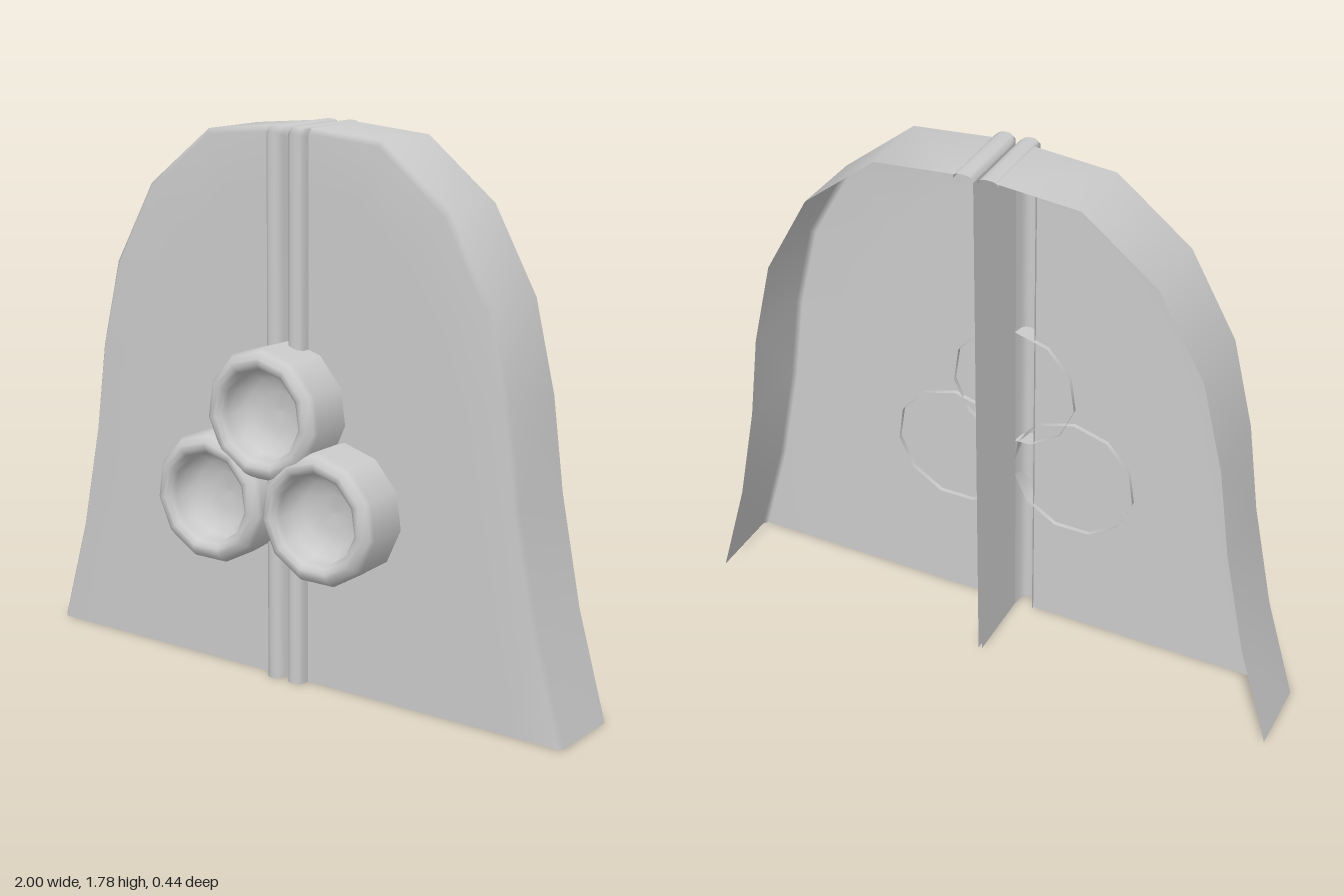
import * as THREE from 'three';

const BACK = -0.22, FRONT = 0.045;
const material = new THREE.MeshStandardMaterial({ color: 0xcccccc, side: THREE.DoubleSide });

// Skins a row of equal-length cross-sections with smooth normals.
function loft(sections) {
  const n = sections[0].length, index = [];
  for (let i = 0; i < sections.length - 1; i++) {
    for (let j = 0; j < n - 1; j++) {
      const a = i * n + j, b = a + n;
      index.push(a, b, a + 1, b, b + 1, a + 1);
    }
  }
  const geometry = new THREE.BufferGeometry();
  geometry.setAttribute('position', new THREE.Float32BufferAttribute(sections.flat(2), 3));
  geometry.setIndex(index);
  geometry.computeVertexNormals();
  return geometry;
}

// Curved side wall turning into the flat front panel.
function shellGeometry() {
  const outline = [[1, 0], [0.9, 0.35], [0.83, 0.7], [0.79, 1], [0.72, 1.29], [0.57, 1.56], [0.33, 1.75], [0.065, 1.773]];
  const inner = [[0.82, 0], [0.73, 0.35], [0.66, 0.7], [0.6, 1], [0.53, 1.2], [0.4, 1.4], [0.25, 1.55], [0.065, 1.57]];
  return loft(outline.map(([x, y], i) => {
    const [ix, iy] = inner[i];
    const ex = x + (ix - x) * 0.08, ey = y + (iy - y) * 0.08;
    return [[x, y, BACK], [x, y, 0.03], [ex, ey, FRONT], [ix, iy, FRONT], [0.065, iy, FRONT]];
  }));
}

// Rounded bead running up the front edge and back over the top.
function beadGeometry() {
  const profile = [[0.07, -0.01], [0.07, 0.022], [0.062, 0.037], [0.05, 0.043], [0.032, 0.043], [0.02, 0.037], [0.011, 0.022], [0.006, -0.01]];
  const top = (d) => 1.763 + d * 0.35;
  return loft([
    profile.map(([x, d]) => [x, 0, FRONT + d]),
    profile.map(([x, d]) => [x, top(d) - 0.02, FRONT + d]),
    profile.map(([x, d]) => [x, top(d), FRONT + d - 0.02]),
    profile.map(([x, d]) => [x, top(d), BACK]),
  ]);
}

// Flat wall closing each half along the centre split.
function centreWallGeometry() {
  return loft([0, 1.759].map((y) => [[0.006, y, FRONT], [0.006, y, BACK]]));
}

// Eleven-sided cup with a bevelled rim and a shallow bowl.
function cupGeometry() {
  const profile = [
    [0.213, 0.03], [0.213, 0.185], [0.205, 0.2], [0.185, 0.216], [0.167, 0.216],
    [0.152, 0.205], [0.146, 0.185], [0.14, 0.14], [0.11, 0.11], [0.06, 0.096], [0, 0.092],
  ].map(([r, z]) => new THREE.Vector2(r, z));
  return new THREE.LatheGeometry(profile, 11, Math.PI).rotateX(Math.PI / 2);
}

export function createModel() {
  const model = new THREE.Group();
  const add = (name, geometry) => {
    const mesh = new THREE.Mesh(geometry, material);
    mesh.name = name;
    model.add(mesh);
    return mesh;
  };

  // Two mirrored halves
  const parts = { Shell: shellGeometry(), Bead: beadGeometry(), CentreWall: centreWallGeometry() };
  for (const [side, s] of [['left', 1], ['right', -1]]) {
    for (const [name, geometry] of Object.entries(parts)) add(side + name, geometry).scale.x = s;
  }

  // Triangle of cups on the front
  const cup = cupGeometry();
  for (const [name, x, y] of [['topCup', 0, 0.9], ['leftCup', 0.21, 0.603], ['rightCup', -0.21, 0.603]]) {
    add(name, cup).position.set(x, y, 0);
  }
  return model;
}
